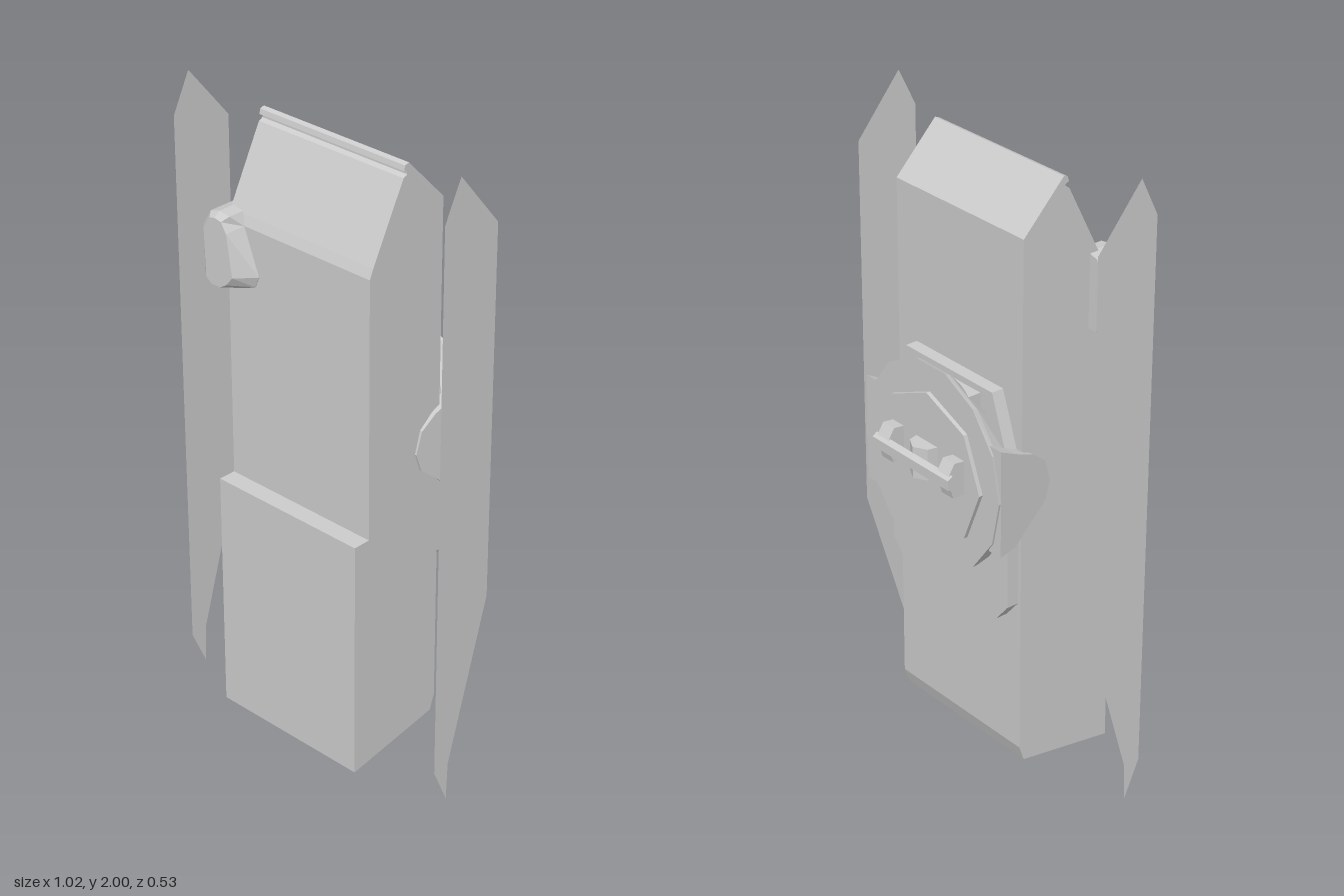
import * as THREE from 'three';

const material = new THREE.MeshStandardMaterial({ color: 0xcccccc, flatShading: true });
const thinMaterial = new THREE.MeshStandardMaterial({ color: 0xcccccc, flatShading: true, side: THREE.DoubleSide });
const CY = 1.035; // height of the clip's axis

function mesh(name, geometry, mat = material) {
  const m = new THREE.Mesh(geometry, mat);
  m.name = name;
  return m;
}

// Extrudes a [z, y] outline along x from x0 to x1
function extrudeX(points, x0, x1) {
  const shape = new THREE.Shape(points.map(([z, y]) => new THREE.Vector2(-z, y)));
  return new THREE.ExtrudeGeometry(shape, { depth: x1 - x0, bevelEnabled: false })
    .rotateY(Math.PI / 2).translate(x0, 0, 0);
}

// Extrudes an [x, y] outline along z from z0 to z1
function extrudeZ(points, z0, z1) {
  const shape = new THREE.Shape(points.map(([x, y]) => new THREE.Vector2(x, y)));
  return new THREE.ExtrudeGeometry(shape, { depth: z1 - z0, bevelEnabled: false }).translate(0, 0, z0);
}

// Skins rings of [x, y, z] (counter-clockwise from the front, ordered back to front) and caps both ends
function loft(rings) {
  const n = rings[0].length, pos = [];
  const tri = (...p) => p.forEach((v) => pos.push(...v));
  for (let k = 0; k < rings.length - 1; k++) {
    for (let i = 0; i < n; i++) {
      const j = (i + 1) % n, a = rings[k], b = rings[k + 1];
      tri(a[i], a[j], b[j]);
      tri(a[i], b[j], b[i]);
    }
  }
  const back = rings[0], front = rings[rings.length - 1];
  for (let i = 1; i < n - 1; i++) {
    tri(back[0], back[i + 1], back[i]);
    tri(front[0], front[i], front[i + 1]);
  }
  const g = new THREE.BufferGeometry();
  g.setAttribute('position', new THREE.Float32BufferAttribute(pos, 3));
  g.computeVertexNormals();
  return g;
}

// Polygon ring around the clip axis, with its own radius for the upper half
function ring(n, rx, ryUp, ryDown, z) {
  return Array.from({ length: n }, (_, i) => {
    const a = (i / n) * Math.PI * 2, s = Math.sin(a);
    return [rx * Math.cos(a), CY + s * (s > 0 ? ryUp : ryDown), z];
  });
}

function createKnob() {
  const base = [[-0.33, 1.49], [-0.30, 1.46], [-0.20, 1.46], [-0.165, 1.475], [-0.15, 1.51],
    [-0.205, 1.65], [-0.225, 1.685], [-0.265, 1.69], [-0.30, 1.68], [-0.33, 1.63]];
  const face = [[-0.305, 1.48], [-0.285, 1.465], [-0.25, 1.465], [-0.225, 1.48], [-0.2, 1.51],
    [-0.22, 1.64], [-0.24, 1.67], [-0.265, 1.675], [-0.285, 1.67], [-0.31, 1.63]];
  // the shoulder sits lower on the flared side
  const shoulder = base.map(([x, y]) => [x, y, x > -0.21 ? 0.21 : 0.245]);
  return mesh('sideKnob', loft([
    base.map(([x, y]) => [x, y, 0.16]), shoulder, face.map(([x, y]) => [x, y, 0.265]),
  ]));
}

function createClip() {
  const clip = new THREE.Group();
  clip.name = 'backClip';

  // shield-shaped plate against the body
  clip.add(mesh('clipBase', extrudeZ([[-0.19, 1.32], [-0.25, 1.15], [-0.26, 0.9], [-0.26, 0.65],
    [-0.21, 0.59], [-0.1, 0.565], [0.1, 0.565], [0.21, 0.59], [0.26, 0.65], [0.26, 0.9],
    [0.25, 1.15], [0.19, 1.32]], -0.12, -0.075)));
  clip.add(mesh('clipNeck', new THREE.BoxGeometry(0.28, 0.5, 0.07).translate(0, 1.05, -0.135)));

  // dished disc, undercut along its upper edge
  clip.add(mesh('clipDisc', loft([
    ring(14, 0.3, 0.325, 0.325, -0.187), ring(14, 0.298, 0.315, 0.325, -0.168),
    ring(14, 0.285, 0.26, 0.32, -0.12),
  ])));
  clip.add(mesh('clipPlate', loft([ring(8, 0.23, 0.235, 0.235, -0.2), ring(8, 0.23, 0.235, 0.235, -0.18)])));

  // cheeks hugging the body sides, thinning towards their round ends
  for (const side of [-1, 1]) {
    const g = extrudeX([[-0.18, 1.2], [-0.12, 1.17], [-0.05, 1.14], [0, 1.1], [0.02, 1.03],
      [0, 0.97], [-0.05, 0.93], [-0.12, 0.87], [-0.18, 0.86]], side > 0 ? 0.25 : -0.3, side > 0 ? 0.3 : -0.25);
    const p = g.attributes.position;
    for (let i = 0; i < p.count; i++) {
      if (Math.abs(p.getX(i)) > 0.28) p.setX(i, side * (0.278 - 0.11 * (p.getZ(i) - 0.02)));
    }
    g.computeVertexNormals();
    clip.add(mesh(side > 0 ? 'leftCheek' : 'rightCheek', g));
  }

  // turning handle: slim bar on two legs with a central nub
  const handle = new THREE.Group();
  handle.name = 'handle';
  handle.add(mesh('handleBar', extrudeX([[-0.235, 1.07], [-0.25, 1.095], [-0.267, 1.085],
    [-0.267, 1.055], [-0.235, 1.045]], -0.175, 0.165)));
  for (const x of [-0.165, 0.105]) {
    handle.add(mesh('handleLeg', extrudeX([[-0.19, 1.12], [-0.235, 1.125], [-0.26, 1.085],
      [-0.24, 1.015], [-0.19, 1.015]], x, x + 0.05)));
  }
  handle.add(mesh('handleNub', new THREE.ExtrudeGeometry(
    new THREE.Shape([[-0.05, -0.19], [0.05, -0.19], [0.04, -0.23], [0, -0.252], [-0.04, -0.23]]
      .map(([x, z]) => new THREE.Vector2(x, -z))), { depth: 0.1, bevelEnabled: false })
    .rotateX(-Math.PI / 2).translate(0, 1.015, 0)));
  clip.add(handle);
  return clip;
}

export function createModel() {
  const model = new THREE.Group();
  model.name = 'handset';

  // main case with a stepped front, sloped top and small ridge lip
  model.add(mesh('body', extrudeX([[0.265, 0.045], [0.265, 0.83], [0.208, 0.83], [0.208, 1.65],
    [0.195, 1.68], [0.08, 1.905], [0.066, 1.912], [0.066, 1.92], [0.078, 1.925], [0.074, 1.94],
    [0.06, 1.945], [-0.08, 1.8], [-0.08, 0.15], [-0.063, 0.1]], -0.272, 0.272)));

  // thin free-standing side blades
  const blade = new THREE.ShapeGeometry(new THREE.Shape([[0.12, 2], [0.18, 1.88], [0.18, 0.12],
    [0.127, 0], [0.122, 0.125], [-0.03, 0.64], [-0.03, 1.82]]
    .map(([z, y]) => new THREE.Vector2(-z, y)))).rotateY(Math.PI / 2);
  for (const side of [-1, 1]) {
    const m = mesh(side > 0 ? 'leftBlade' : 'rightBlade', blade, thinMaterial);
    m.position.x = side * 0.51;
    model.add(m);
  }

  model.add(createKnob(), createClip());
  return model;
}
